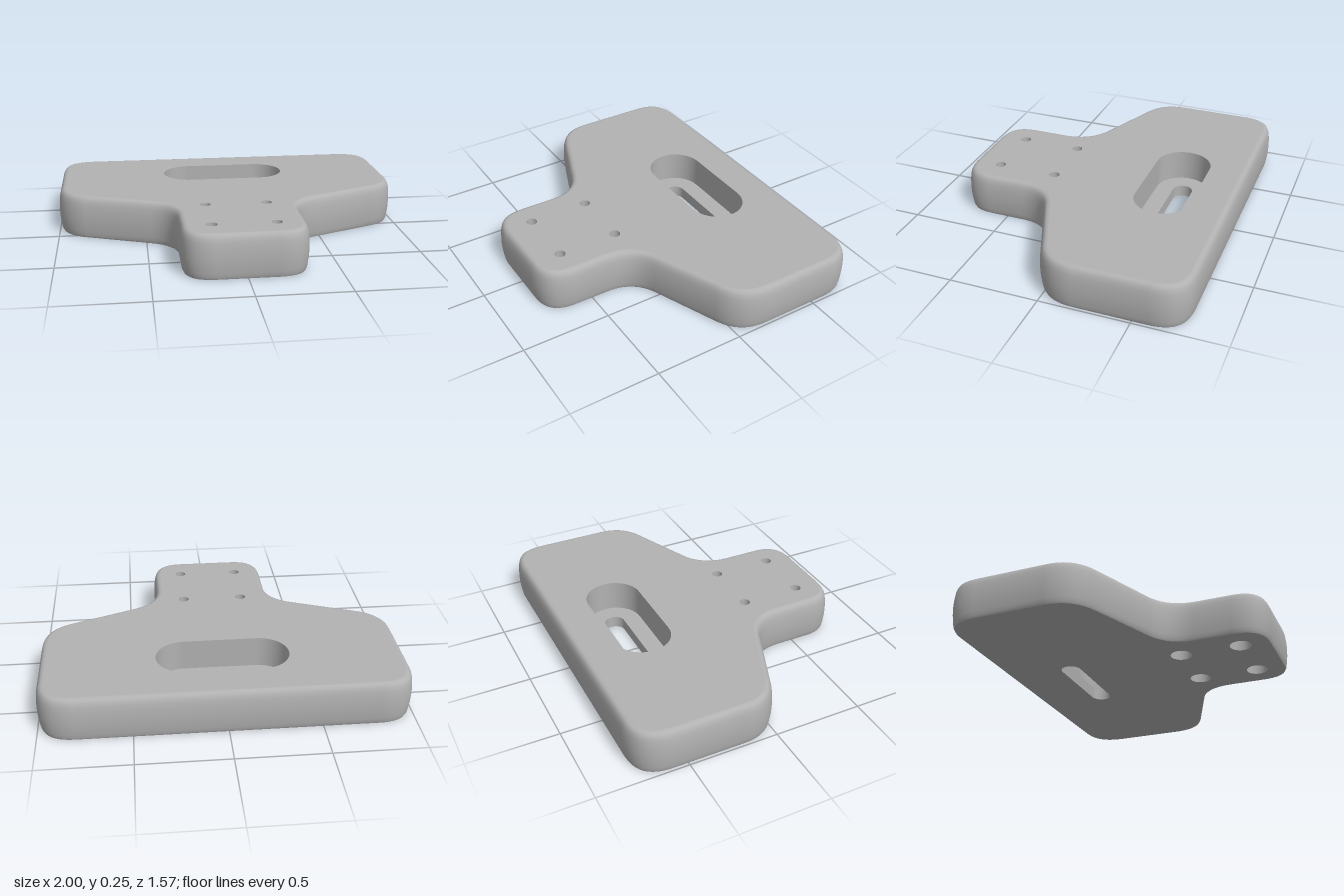
import * as THREE from 'three';

const H = 0.245;            // plate thickness
const POCKET_FLOOR = 0.068; // height of the slot pocket floor
const BORE = 0.125;         // depth of the screw counterbores

// Plan coordinates are (x, s) with s = -z; loops run counter-clockwise from above.

// Polygon whose corners [x, s, cut] are blended by curves
function roundedLoop(corners, steps = 12) {
  const n = corners.length;
  const v = corners.map(([x, s]) => new THREE.Vector2(x, s));
  return corners.flatMap(([, , cut], i) => {
    const towards = (q) => q.clone().sub(v[i]).setLength(cut).add(v[i]);
    return new THREE.QuadraticBezierCurve(towards(v[(i + n - 1) % n]), v[i], towards(v[(i + 1) % n])).getPoints(steps);
  });
}

// Stadium loop, or a circle when the straight half length is 0
function slotLoop(cx, cs, half, r, steps = 20) {
  const pts = [];
  for (const side of [1, -1]) {
    for (let j = 0; j < steps + (half ? 1 : 0); j++) {
      const a = -Math.PI / 2 + (side < 0 ? Math.PI : 0) + (Math.PI * j) / steps;
      pts.push(new THREE.Vector2(cx + side * half + r * Math.cos(a), cs + r * Math.sin(a)));
    }
  }
  return pts;
}

// Move a loop inwards along its normals
function inset(loop, d) {
  const n = loop.length;
  return loop.map((p, i) => {
    const a = p.clone().sub(loop[(i + n - 1) % n]).normalize();
    const t = loop[(i + 1) % n].clone().sub(p).normalize().add(a).normalize();
    return new THREE.Vector2(p.x - t.y * d, p.y + t.x * d);
  });
}

// Smooth skin through stacked rings { loop, y }
function skin(rings) {
  const n = rings[0].loop.length, pos = [], idx = [];
  rings.forEach(({ loop, y }) => loop.forEach((p) => pos.push(p.x, y, -p.y)));
  for (let i = 0; i < rings.length - 1; i++) {
    for (let j = 0; j < n; j++) {
      const a = i * n + j, b = i * n + ((j + 1) % n);
      idx.push(a, b, b + n, a, b + n, a + n);
    }
  }
  const g = new THREE.BufferGeometry();
  g.setAttribute('position', new THREE.Float32BufferAttribute(pos, 3));
  g.setIndex(idx);
  g.computeVertexNormals();
  return g;
}

// Wall of a hole, facing into the opening
function holeWall(loop, y0, y1) {
  const inner = [...loop].reverse();
  return skin([{ loop: inner, y: y0 }, { loop: inner, y: y1 }]);
}

// Flat face with holes, facing up or down
function flat(loop, holes, y, down = false) {
  const shape = new THREE.Shape(loop);
  shape.holes = holes.map((h) => new THREE.Path(h));
  const g = new THREE.ShapeGeometry(shape).rotateX(-Math.PI / 2).translate(0, y, 0);
  if (down) {
    g.index.array.reverse();
    g.computeVertexNormals();
  }
  return g;
}

export function createModel() {
  const model = new THREE.Group();
  model.name = 'mountingPlate';
  const grey = new THREE.MeshStandardMaterial({ color: 0xb2b2b2 });
  grey.name = 'plain grey';
  const add = (name, geometry) => {
    const mesh = new THREE.Mesh(geometry, grey);
    mesh.name = name;
    model.add(mesh);
  };

  // Outline: wide rear plate tapering to a narrow front tab
  const half = [[0.343, -0.783, 0.18], [0.343, -0.252, 0.15], [1, 0.012, 0.17], [1, 0.783, 0.2]];
  const outline = roundedLoop([...half, ...half.map(([x, s, c]) => [-x, s, c]).reverse()]);

  // Slightly bulged rim with a softened upper edge: [inset, y]
  const profile = [
    [0.017, 0], [0.011, 0.012], [0.007, 0.035], [0.002, 0.075], [0, 0.12], [0.002, 0.165],
    [0.006, 0.2], [0.012, 0.222], [0.02, 0.236], [0.03, 0.243], [0.042, H],
  ];
  const rings = profile.map(([d, y]) => ({ loop: inset(outline, d), y }));
  add('rim', skin(rings));

  // Openings
  const pocket = slotLoop(0, 0.4, 0.207, 0.158);
  const slot = slotLoop(0, 0.4, 0.209, 0.057);
  const centres = [-1, 1].flatMap((k) => [-0.262, -0.605].map((s) => [k * 0.172, s]));
  const screws = centres.map(([x, s]) => slotLoop(x, s, 0, 0.03));
  const bores = centres.map(([x, s]) => slotLoop(x, s, 0, 0.06));

  add('topFace', flat(rings.at(-1).loop, [pocket, ...screws], H));
  add('bottomFace', flat(rings[0].loop, [slot, ...bores], 0, true));

  // Stepped slot
  add('pocketWall', holeWall(pocket, POCKET_FLOOR, H));
  add('pocketFloor', flat(pocket, [slot], POCKET_FLOOR));
  add('slotWall', holeWall(slot, 0, POCKET_FLOOR));

  // Screw holes, counterbored from below
  centres.forEach((_, i) => {
    add('screwHoleWall', holeWall(screws[i], BORE, H));
    add('counterboreSeat', flat(bores[i], [screws[i]], BORE, true));
    add('counterboreWall', holeWall(bores[i], 0, BORE));
  });
  return model;
}
